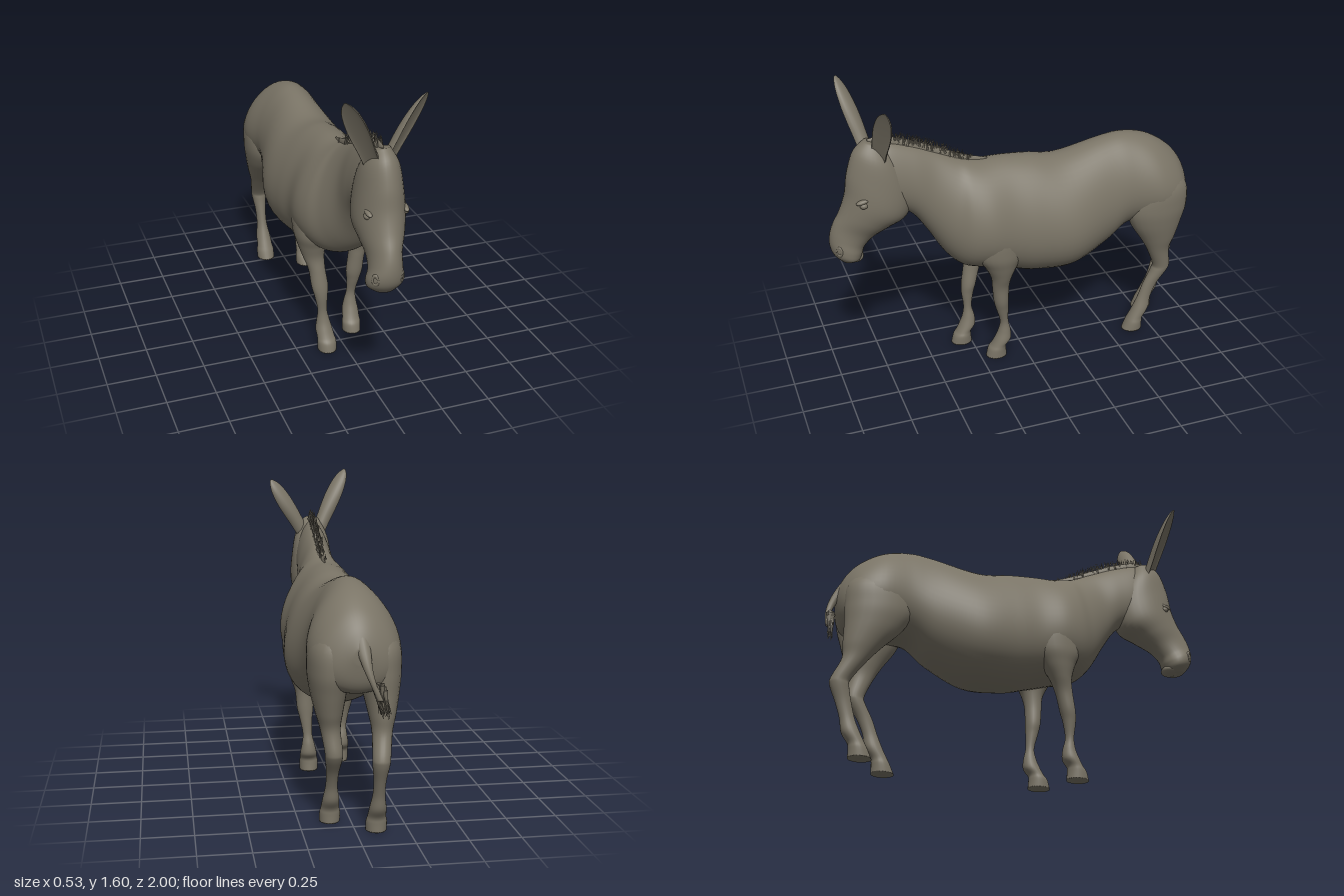
import * as THREE from 'three';

const coat = new THREE.MeshStandardMaterial({ color: 0x7a7466 });
coat.name = 'greyBrownCoat';

// Smooth in-between of a list of number rows
function blend(rows, k, t) {
  const at = (i) => rows[Math.min(rows.length - 1, Math.max(0, i))];
  const [p0, p1, p2, p3] = [at(k - 1), at(k), at(k + 1), at(k + 2)];
  return p1.map((b, i) => {
    const a = p0[i], c = p2[i], d = p3[i];
    return b + 0.5 * t * (c - a + t * (2 * a - 5 * b + 4 * c - d + t * (3 * (b - c) + d - a)));
  });
}

// Skin over oval sections [x, aY, aZ, bY, bZ, halfWidth]; a and b are the ends of the oval in side profile.
// egg narrows the a side, cup hollows the b side.
function loft(sections, { egg = 0, cup = 1, sides = 32, steps = 6 } = {}) {
  const rings = [];
  for (let k = 0; k < sections.length - 1; k++)
    for (let s = 0; s < steps; s++) rings.push(blend(sections, k, s / steps));
  rings.push(sections[sections.length - 1]);
  const pos = [], index = [];
  for (const [x, aY, aZ, bY, bZ, w] of rings)
    for (let j = 0; j < sides; j++) {
      const th = (j / sides) * Math.PI * 2;
      const c = Math.cos(th), u = c < 0 ? c * cup : c;
      pos.push(x + w * Math.sin(th) * (1 - egg * c), (aY + bY) / 2 + (u * (aY - bY)) / 2, (aZ + bZ) / 2 + (u * (aZ - bZ)) / 2);
    }
  const last = rings.length - 1;
  for (let i = 0; i < last; i++)
    for (let j = 0; j < sides; j++) {
      const a = i * sides + j, b = i * sides + ((j + 1) % sides);
      index.push(a, a + sides, b, b, a + sides, b + sides);
    }
  // end caps
  for (const i of [0, last]) {
    const [x, aY, aZ, bY, bZ] = rings[i];
    const centre = pos.length / 3;
    pos.push(x, (aY + bY) / 2, (aZ + bZ) / 2);
    for (let j = 0; j < sides; j++) {
      const a = i * sides + j, b = i * sides + ((j + 1) % sides);
      if (i === 0) index.push(centre, a, b);
      else index.push(centre, b, a);
    }
  }
  const g = new THREE.BufferGeometry();
  g.setAttribute('position', new THREE.Float32BufferAttribute(pos, 3));
  g.setIndex(index);
  g.computeVertexNormals();
  return g;
}

function part(parent, name, geometry) {
  const m = new THREE.Mesh(geometry, coat);
  m.name = name;
  parent.add(m);
  return m;
}

function ball(parent, name, position, scale) {
  const m = part(parent, name, new THREE.SphereGeometry(1, 28, 18));
  m.position.set(...position);
  m.scale.set(...scale);
  return m;
}

// Leg rows [y, frontZ, backZ, x, halfWidth]; stride swings the lower leg
function leg(parent, name, rows, side, stride) {
  const sections = rows.map(([y, f, b, x, w]) => {
    const dz = stride * Math.min(1, Math.max(0, (0.75 - y) / 0.5));
    return [side * x, y, f + dz, y, b + dz, w];
  });
  part(parent, name, loft(sections, { sides: 24 }));
}

const frontLeg = [
  [0.92, 0.25, 0.13, 0.11, 0.04], [0.8, 0.28, 0.05, 0.14, 0.085], [0.67, 0.28, 0.035, 0.147, 0.085],
  [0.59, 0.235, 0.06, 0.142, 0.072], [0.52, 0.2, 0.088, 0.136, 0.056],
  [0.45, 0.19, 0.1, 0.125, 0.044], [0.36, 0.18, 0.1, 0.116, 0.044],
  [0.3, 0.165, 0.1, 0.112, 0.034], [0.22, 0.143, 0.098, 0.106, 0.025], [0.16, 0.152, 0.085, 0.102, 0.034],
  [0.11, 0.172, 0.083, 0.1, 0.044], [0.075, 0.19, 0.108, 0.097, 0.046], [0.05, 0.208, 0.11, 0.095, 0.05],
  [0.005, 0.22, 0.105, 0.095, 0.049],
];
const hindLeg = [
  [1.02, -0.66, -0.82, 0.09, 0.05], [0.9, -0.6, -0.905, 0.115, 0.095], [0.78, -0.57, -0.915, 0.122, 0.098],
  [0.68, -0.6, -0.89, 0.122, 0.086], [0.58, -0.665, -0.86, 0.12, 0.065], [0.5, -0.71, -0.835, 0.115, 0.048],
  [0.4, -0.752, -0.85, 0.103, 0.043], [0.36, -0.745, -0.84, 0.101, 0.041], [0.28, -0.705, -0.785, 0.1, 0.03],
  [0.2, -0.675, -0.75, 0.1, 0.029], [0.13, -0.645, -0.737, 0.1, 0.04], [0.08, -0.62, -0.705, 0.1, 0.044],
  [0.05, -0.605, -0.7, 0.1, 0.05], [0.005, -0.585, -0.7, 0.1, 0.05],
];

function ear(parent, name, base, tip, yaw) {
  const from = new THREE.Vector3(...base), dir = new THREE.Vector3(...tip).sub(from);
  const len = dir.length();
  const rows = [[0, 0.042, 0.042], [0.2, 0.044, 0.045], [0.4, 0.05, 0.045], [0.6, 0.052, 0.04],
    [0.8, 0.044, 0.029], [0.93, 0.027, 0.016], [1, 0.007, 0.004]];
  const g = loft(rows.map(([t, w, d]) => [0, t * len, -d, t * len, d, w]), { cup: -0.2, sides: 24 });
  g.rotateY(yaw);
  const m = part(parent, name, g);
  m.position.copy(from);
  m.quaternion.setFromUnitVectors(new THREE.Vector3(0, 1, 0), dir.normalize());
}

export function createModel() {
  const model = new THREE.Group();
  model.name = 'donkey';
  let seed = 7;
  const rand = () => (seed = (seed * 16807) % 2147483647) / 2147483647;

  // Rump, barrel, chest and neck
  part(model, 'bodyAndNeck', loft([
    [0, 0.91, -0.945, 0.84, -0.945, 0.03], [0, 1.0, -0.905, 0.74, -0.925, 0.12],
    [0, 1.08, -0.835, 0.69, -0.875, 0.185], [0, 1.15, -0.72, 0.67, -0.75, 0.216],
    [0, 1.18, -0.58, 0.665, -0.58, 0.193], [0, 1.165, -0.45, 0.57, -0.45, 0.207],
    [0, 1.115, -0.22, 0.485, -0.25, 0.258], [0, 1.135, -0.05, 0.485, -0.05, 0.245],
    [0, 1.145, 0.08, 0.515, 0.08, 0.229], [0, 1.145, 0.2, 0.555, 0.22, 0.235],
    [0, 1.16, 0.28, 0.58, 0.33, 0.21], [0, 1.18, 0.34, 0.66, 0.415, 0.16],
    [0, 1.225, 0.44, 0.8, 0.5, 0.112], [0, 1.275, 0.56, 0.91, 0.58, 0.1],
    [0, 1.315, 0.69, 0.96, 0.68, 0.09], [0, 1.3, 0.75, 1.02, 0.76, 0.06],
  ], { egg: 0.2, sides: 48 }));
  ball(model, 'brisket', [0, 0.635, 0.2], [0.17, 0.075, 0.16]);

  // Head, turned slightly to one side
  const head = new THREE.Group();
  head.name = 'head';
  model.add(head);
  part(head, 'skull', loft([
    [0, 1.335, 0.8, 1.31, 0.7, 0.045], [0, 1.28, 0.855, 1.18, 0.62, 0.092],
    [0, 1.17, 0.893, 1.03, 0.575, 0.114], [-0.003, 1.06, 0.91, 0.915, 0.6, 0.122],
    [-0.01, 0.97, 0.94, 0.86, 0.69, 0.104], [-0.02, 0.9, 0.975, 0.81, 0.77, 0.082],
    [-0.027, 0.84, 0.994, 0.76, 0.82, 0.08], [-0.033, 0.78, 0.998, 0.72, 0.835, 0.09],
    [-0.033, 0.73, 0.985, 0.69, 0.85, 0.083], [-0.033, 0.685, 0.95, 0.675, 0.88, 0.045],
  ], { egg: 0.1 }));
  ball(head, 'lowerLip', [-0.03, 0.697, 0.875], [0.055, 0.028, 0.045]);

  for (const s of [1, -1]) {
    const side = s > 0 ? 'left' : 'right';
    ball(head, side + 'Eye', [s * 0.093, 1.03, 0.835], [0.018, 0.016, 0.02]);
    const brow = ball(head, side + 'Brow', [s * 0.09, 1.05, 0.838], [0.016, 0.012, 0.036]);
    brow.rotation.x = 0.25;
    const nostril = part(head, side + 'Nostril', new THREE.TorusGeometry(0.018, 0.008, 10, 20));
    nostril.scale.set(0.8, 1.2, 1);
    nostril.position.set(-0.033 + s * 0.064, 0.765, 0.96);
    nostril.rotation.y = s * 0.8;
  }
  ear(head, 'leftEar', [0.054, 1.25, 0.745], [0.232, 1.55, 0.735], 0.7);
  ear(head, 'rightEar', [-0.052, 1.25, 0.785], [-0.218, 1.6, 0.872], -0.7);

  // Legs
  leg(model, 'frontLeftLeg', frontLeg, 1, 0);
  leg(model, 'frontRightLeg', frontLeg, -1, 0.14);
  leg(model, 'hindLeftLeg', hindLeg, 1, 0);
  leg(model, 'hindRightLeg', hindLeg, -1, -0.15);

  // Upright mane: a low ridge with tufts of hair
  const mane = new THREE.Group();
  mane.name = 'mane';
  model.add(mane);
  part(mane, 'maneRidge', loft([
    [0, 1.15, 0.17, 1.12, 0.17, 0.004], [0, 1.185, 0.29, 1.13, 0.29, 0.013], [0, 1.25, 0.44, 1.19, 0.44, 0.017],
    [0, 1.31, 0.58, 1.24, 0.58, 0.017], [0, 1.345, 0.7, 1.28, 0.7, 0.016], [0, 1.34, 0.78, 1.29, 0.78, 0.006],
  ], { sides: 12 }));
  const hair = new THREE.ConeGeometry(0.006, 0.06, 4);
  for (let i = 0; i < 120; i++) {
    const t = i / 119, z = 0.25 + 0.5 * t;
    const tuft = part(mane, 'maneHair', hair);
    tuft.position.set((rand() - 0.5) * 0.03, 1.155 + 0.2 * Math.sin(t * 1.45) - 0.012 + rand() * 0.014, z);
    tuft.rotation.set((rand() - 0.6) * 0.8, 0, (rand() - 0.5) * 0.5);
  }

  // Tail growing out of the rump, with a tuft at the tip
  part(model, 'tail', loft([
    [0, 0.97, -0.83, 1.03, -0.855, 0.05], [-0.005, 0.91, -0.87, 0.97, -0.918, 0.042],
    [-0.015, 0.87, -0.918, 0.89, -0.962, 0.03], [-0.028, 0.81, -0.953, 0.82, -0.987, 0.02],
    [-0.05, 0.75, -0.972, 0.75, -0.998, 0.014], [-0.08, 0.68, -0.97, 0.68, -0.995, 0.014],
  ], { sides: 16 }));
  const strand = new THREE.ConeGeometry(0.011, 0.14, 5);
  strand.rotateX(Math.PI);
  for (let i = 0; i < 22; i++) {
    const s = part(model, 'tailHair', strand);
    s.position.set(-0.092 + (rand() - 0.5) * 0.05, 0.67 + (rand() - 0.5) * 0.04, -0.972 + (rand() - 0.5) * 0.025);
    s.rotation.set((rand() - 0.4) * -0.25, 0, -0.15 + (rand() - 0.5) * 0.4);
  }
  return model;
}
